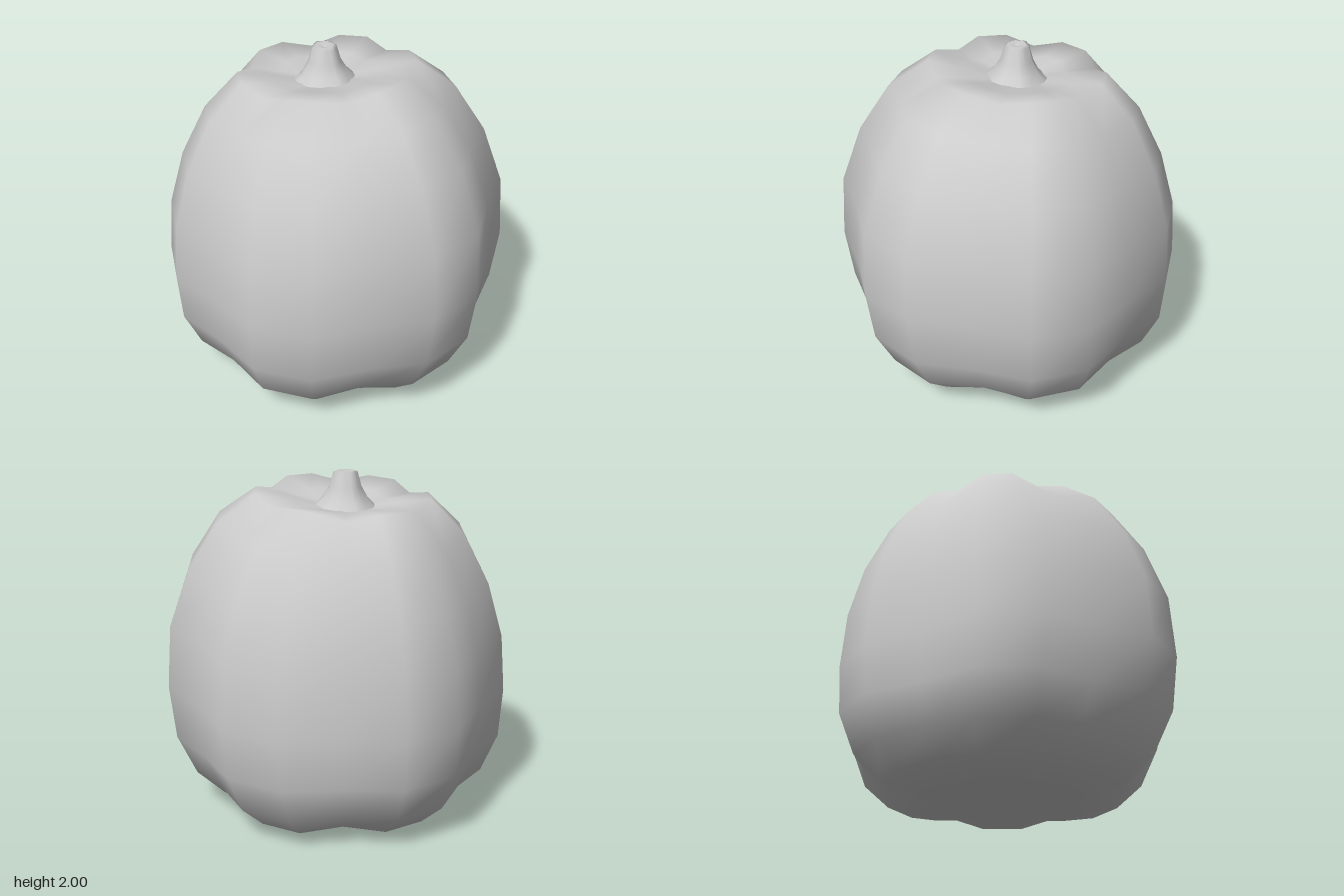
import * as THREE from 'three';

const SIDES = 18; // six lobes: two crest points and one furrow point each

// Loft rings listed bottom to top.
// Ring: [centre x, height, radius, tilt towards +x, furrow height offset]
function loft(rings, furrow, cz = 0) {
  const positions = [], index = [];
  for (const [cx, y, r, tilt, offset] of rings) {
    for (let k = 0; k < SIDES; k++) {
      const a = THREE.MathUtils.degToRad(10 + 20 * k);
      const inFurrow = k % 3 === 1;
      const rad = inFurrow ? r * furrow : r;
      positions.push(
        cx + rad * Math.cos(a),
        y + tilt * Math.cos(a) + (inFurrow ? offset : 0),
        cz + rad * Math.sin(a)
      );
    }
  }
  for (let j = 0; j < rings.length - 1; j++) {
    for (let k = 0; k < SIDES; k++) {
      const n = (k + 1) % SIDES;
      const a = j * SIDES + k, b = j * SIDES + n;
      const c = a + SIDES, d = b + SIDES;
      index.push(a, c, b, b, c, d);
    }
  }
  const g = new THREE.BufferGeometry();
  g.setAttribute('position', new THREE.Float32BufferAttribute(positions, 3));
  g.setIndex(index);
  g.computeVertexNormals();
  return g;
}

export function createModel() {
  const group = new THREE.Group();
  const material = new THREE.MeshStandardMaterial({ color: 0xcccccc });
  const add = (name, geometry) => {
    const mesh = new THREE.Mesh(geometry, material);
    mesh.name = name;
    group.add(mesh);
  };

  // Lobed, slightly leaning fruit with a shallow dish on top
  add('fruitBody', loft([
    [-0.05, 0.03, 0, 0, 0],
    [-0.05, 0.02, 0.25, 0, 0.005],
    [-0.05, 0.005, 0.5, 0, 0.02],
    [-0.035, 0.06, 0.705, 0, 0.03],
    [-0.03, 0.205, 0.865, 0.005, 0.02],
    [-0.015, 0.435, 0.97, 0.015, 0],
    [0, 0.74, 1.0, 0.04, 0],
    [0, 1.095, 0.975, 0.075, 0],
    [-0.025, 1.42, 0.87, 0.09, -0.01],
    [-0.05, 1.695, 0.71, 0.075, -0.03],
    [-0.075, 1.87, 0.503, 0.04, -0.04],
    [-0.08, 1.835, 0.3, 0.02, -0.02],
    [-0.085, 1.80, 0.14, 0.01, 0],
  ], 0.92));

  // Flared stem with a slightly hollow tip
  add('stem', loft([
    [-0.085, 1.80, 0.175, 0.01, 0],
    [-0.085, 1.845, 0.13, 0.01, 0],
    [-0.085, 1.91, 0.092, 0, 0],
    [-0.085, 1.99, 0.07, -0.005, 0],
    [-0.085, 2.0, 0.05, 0, 0],
    [-0.085, 1.985, 0, 0, 0],
  ], 0.92, 0.01));

  return group;
}
